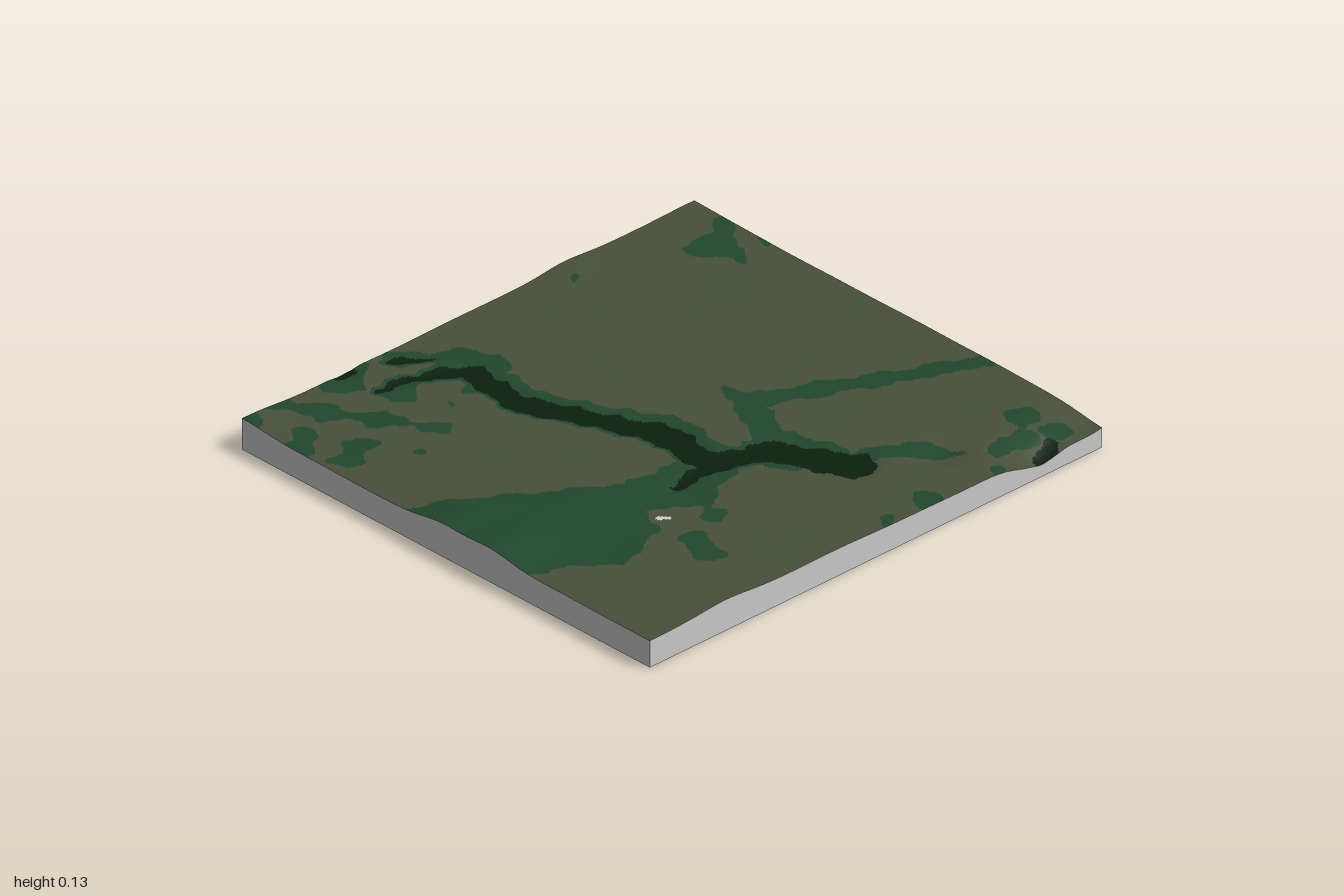
import * as THREE from 'three';

const HX = 1, HZ = 0.945, NX = 250, NZ = 236;

// Deep channel and its side arms, as chains of [x, z, radius]
const channel = [
  [[-0.54, -0.79, 0.015], [-0.45, -0.78, 0.02], [-0.33, -0.74, 0.025], [-0.25, -0.67, 0.045], [-0.27, -0.5, 0.045],
    [-0.27, -0.4, 0.05], [-0.16, -0.17, 0.045], [-0.07, 0.03, 0.06], [-0.095, 0.27, 0.052], [0.11, 0.35, 0.06], [0.23, 0.6, 0.075]],
  [[-0.28, 0.305, 0.018], [-0.1, 0.28, 0.04]],
  [[-0.4, -0.9, 0.015], [-0.29, -0.82, 0.012]],
  [[-0.58, -0.945, 0.02], [-0.52, -0.935, 0.02]],
  [[0.74, 0.93, 0.03], [0.8, 0.91, 0.035]],
];

// Shrub strips
const strips = [
  [[-0.38, -0.91, 0.03], [-0.19, -0.74, 0.05], [-0.16, -0.63, 0.045]],
  [[0.27, -0.03, 0.02], [0.25, 0.09, 0.05], [0.16, 0.29, 0.06], [0.24, 0.52, 0.05]],
  [[0.27, 0.08, 0.045], [1.02, 0.435, 0.035]],
  [[0.29, 0.57, 0.03], [0.45, 0.66, 0.05], [0.54, 0.76, 0.02]],
  [[0.64, 0.83, 0.03], [0.77, 0.83, 0.045]],
  [[-0.46, 0.58, 0.05], [-0.49, 0.69, 0.045]],
  [[0.8, -0.72, 0.05], [0.88, -0.7, 0.06], [0.86, -0.59, 0.025]],
  [[0.9, -0.71, 0.04], [0.98, -0.79, 0.03]],
];

// Single shrub patches: x, z, radius
const patches = [[0.83, 0.75, 0.055], [0.865, 0.87, 0.045], [0.26, 0.91, 0.05], [0.07, 0.915, 0.025],
  [0.55, 0.93, 0.025], [-0.31, 0.515, 0.04], [1, -0.62, 0.03], [0.39, -0.85, 0.014]];
const cover = [...strips, ...patches.map(p => [p, [p[0] + 0.01, p[1], p[2]]])];

// Outline of the wooded hill on the left
const hill = [[-1.1, -0.24], [-0.9, -0.14], [-0.6, 0.06], [-0.4, 0.18], [-0.1, 0.2], [-0.05, 0.36], [-0.2, 0.41],
  [-0.28, 0.49], [-0.37, 0.38], [-0.45, 0.36], [-0.5, 0.46], [-0.73, 0.55], [-0.82, 0.45], [-1.1, 0.35]];
const bareSpot = [[[-0.45, 0.41, 0.01], [-0.425, 0.43, 0.01]]];

// Rises and hollows: x, z, width x, width z, height
const relief = [
  [-1.05, 0.2, 0.3, 0.13, 0.024], [-1.05, -0.02, 0.28, 0.12, 0.024], [-0.6, 0.12, 0.25, 0.2, 0.012],
  [-0.66, 0.95, 0.14, 0.2, 0.014], [-1, -0.95, 0.2, 0.15, 0.014], [0.42, -0.95, 0.12, 0.12, 0.014],
  [0.9, -0.95, 0.4, 0.2, 0.006], [0.72, 1, 0.13, 0.16, -0.055], [0.95, 0.98, 0.13, 0.18, -0.03],
  [0.5, 0.73, 0.1, 0.08, -0.018], [0.3, 0.95, 0.25, 0.15, -0.01],
];

// Signed distance to the nearest chain; negative is inside
function chainDistance(chains, x, z) {
  let best = 9;
  for (const c of chains) for (let i = 0; i + 1 < c.length; i++) {
    const [ax, az, ar] = c[i], [bx, bz, br] = c[i + 1];
    const dx = bx - ax, dz = bz - az;
    const t = Math.min(1, Math.max(0, ((x - ax) * dx + (z - az) * dz) / (dx * dx + dz * dz)));
    best = Math.min(best, Math.hypot(x - ax - t * dx, z - az - t * dz) - ar - t * (br - ar));
  }
  return best;
}

function inside(poly, x, z) {
  let hit = false;
  poly.forEach(([ax, az], i) => {
    const [bx, bz] = poly[(i + 1) % poly.length];
    if ((az > z) !== (bz > z) && x < ax + (bx - ax) * (z - az) / (bz - az)) hit = !hit;
  });
  return hit;
}

// Ground height: relief, small ripples and the sunken channel
function height(x, z) {
  let y = 0.1;
  for (const [cx, cz, wx, wz, h] of relief) y += h * Math.exp(-(((x - cx) / wx) ** 2) - ((z - cz) / wz) ** 2);
  y += 0.0012 * (Math.sin(13 * x + 5 * z) + Math.sin(17 * z - 7 * x + 1) * Math.sin(9 * x));
  return y - 0.007 * THREE.MathUtils.smoothstep(0.03 - chainDistance(channel, x, z), 0, 0.06);
}

// Scattered thicket in the back corner, thinning out towards the middle
function thicket(x, z) {
  const fade = Math.max(0, (x + 0.45) * 5, (z + 0.62 + 0.3 * (x + 0.7)) * 4);
  const noise = Math.sin(19 * x + 7 * z) * Math.sin(23 * z - 5 * x + 0.6) + 0.5 * Math.sin(37 * x - 21 * z);
  return x < -0.28 && z < -0.35 && noise > 0.12 + fade;
}

// 0 grass, 1 shrubs, 2 channel, 3 bare spot
function zone(x, z) {
  if (chainDistance(bareSpot, x, z) < 0) return 3;
  const u = x + 0.008 * Math.sin(47 * z + 9 * x) + 0.004 * Math.sin(95 * z);
  const v = z + 0.008 * Math.sin(43 * x - 11 * z) + 0.004 * Math.sin(101 * x);
  const d = chainDistance(channel, u, v);
  if (d < 0) return 2;
  // the bank is broad on the upper channel's right and the lower channel's left
  const shift = z < 0.25 ? 0.045 : -0.04;
  const bank = z < 0.5 && (d < 0.015 || chainDistance(channel, u - shift, v) < 0.004);
  return bank || chainDistance(cover, u, v) < 0 || inside(hill, u, v) || thicket(u, v) ? 1 : 0;
}

function buildGround(materials) {
  const pos = [], zones = [[], [], [], []];
  const px = i => -HX + 2 * HX * i / NX, pz = j => -HZ + 2 * HZ * j / NZ;
  for (let j = 0; j <= NZ; j++) for (let i = 0; i <= NX; i++) pos.push(px(i), height(px(i), pz(j)), pz(j));
  for (let j = 0; j < NZ; j++) for (let i = 0; i < NX; i++) {
    const a = j * (NX + 1) + i, b = a + 1, c = a + NX + 1, d = c + 1;
    zones[zone(px(i + 1 / 3), pz(j + 1 / 3))].push(a, c, b);
    zones[zone(px(i + 2 / 3), pz(j + 2 / 3))].push(b, c, d);
  }
  const g = new THREE.BufferGeometry();
  g.setAttribute('position', new THREE.Float32BufferAttribute(pos, 3));
  g.setIndex(zones.flat());
  let start = 0;
  zones.forEach((list, k) => { g.addGroup(start, list.length, k); start += list.length; });
  g.computeVertexNormals();
  return new THREE.Mesh(g, materials);
}

// Upright side from one corner to the next, following the ground on top
function buildWall([ax, az], [bx, bz], n, material) {
  const pos = [], index = [];
  for (let i = 0; i <= n; i++) {
    const x = ax + (bx - ax) * i / n, z = az + (bz - az) * i / n;
    pos.push(x, 0, z, x, height(x, z), z);
    if (i < n) index.push(2 * i, 2 * i + 2, 2 * i + 1, 2 * i + 1, 2 * i + 2, 2 * i + 3);
  }
  const g = new THREE.BufferGeometry();
  g.setAttribute('position', new THREE.Float32BufferAttribute(pos, 3));
  g.setIndex(index);
  g.computeVertexNormals();
  return new THREE.Mesh(g, material);
}

export function createModel() {
  const mat = (name, color) => Object.assign(new THREE.MeshStandardMaterial({ color }), { name });
  const grass = mat('olive grass', 0x47503a), shrubs = mat('green shrubs', 0x21472e);
  const deep = mat('dark channel', 0x0b200f), stone = mat('pale base', 0xcccccc);
  const model = new THREE.Group();
  model.name = 'terrainBlock';

  const ground = buildGround([grass, shrubs, deep, stone]);
  ground.name = 'ground';
  model.add(ground);

  const corners = [[-HX, HZ], [HX, HZ], [HX, -HZ], [-HX, -HZ]];
  ['frontWall', 'leftWall', 'backWall', 'rightWall'].forEach((name, i) => {
    const wall = buildWall(corners[i], corners[(i + 1) % 4], i % 2 ? NZ : NX, stone);
    wall.name = name;
    model.add(wall);
  });

  const underside = new THREE.Mesh(new THREE.PlaneGeometry(2 * HX, 2 * HZ).rotateX(Math.PI / 2), stone);
  underside.name = 'underside';
  model.add(underside);
  return model;
}
